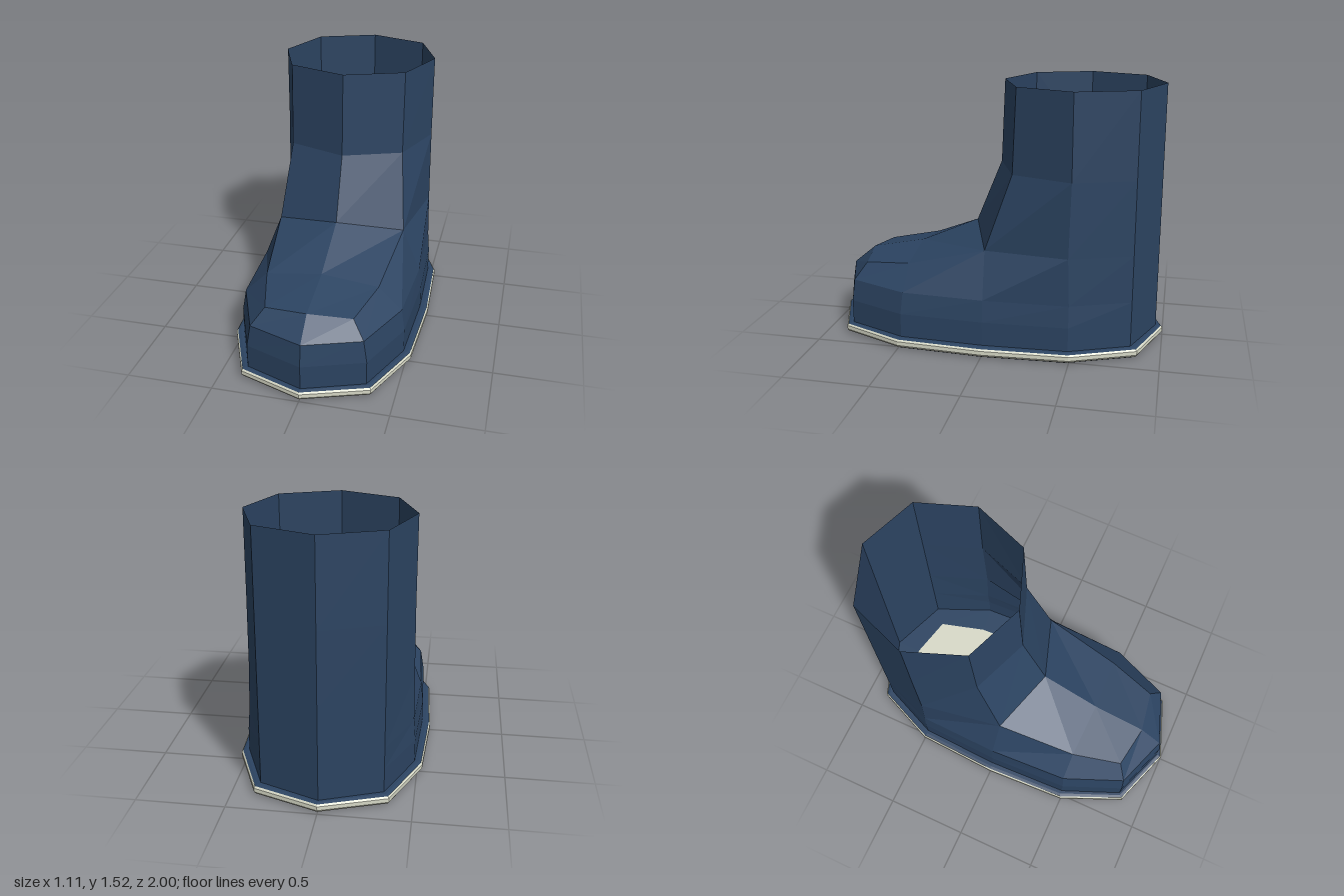
import * as THREE from 'three';

const NAVY = 0x2c4462, CREAM = 0xd8dac8;

function material(color) {
  return new THREE.MeshStandardMaterial({ color, flatShading: true, side: THREE.DoubleSide });
}

const flip = ([x, y, z]) => [-x, y, z];

// Half outline (front centre, left side, back centre) -> full closed ring
function ring(half) {
  return [...half, ...half.slice(1, -1).reverse().map(flip), half[0]];
}

// Half strip (centre outwards to the left) -> full strip from right to left
function strip(half) {
  return [...half.slice(1).reverse().map(flip), ...half];
}

// Faceted skin between successive rows of points
function loft(name, rows, color) {
  const pos = [];
  for (let i = 0; i + 1 < rows.length; i++) {
    for (let j = 0; j + 1 < rows[i].length; j++) {
      const a = rows[i][j], b = rows[i][j + 1], c = rows[i + 1][j + 1], d = rows[i + 1][j];
      pos.push(...a, ...b, ...c, ...a, ...c, ...d);
    }
  }
  const geo = new THREE.BufferGeometry();
  geo.setAttribute('position', new THREE.Float32BufferAttribute(pos, 3));
  geo.computeVertexNormals();
  const mesh = new THREE.Mesh(geo, material(color));
  mesh.name = name;
  return mesh;
}

const level = (outline, y) => outline.map(([x, z]) => [x, y, z]);

export function createModel() {
  const boot = new THREE.Group();
  boot.name = 'boot';

  // Foot: walls rising from the sole to the toe cap, instep and heel
  const base = [[0, 0.965], [0.34, 0.84], [0.485, 0.49], [0.505, 0], [0.485, -0.49], [0.34, -0.83], [0, -0.96]];
  const welt = [[0, 0.945], [0.32, 0.83], [0.465, 0.48], [0.49, 0], [0.475, -0.49], [0.34, -0.83], [0, -0.96]];
  const toe = [[0, 0.44, 0.81], [0.25, 0.42, 0.77]];
  const vamp = [[0, 0.505, 0.49], [0.33, 0.46, 0.48]];
  const ankle = [[0, 0.66, 0.14], [0.385, 0.59, 0.01], [0.47, 0.6, -0.48], [0.34, 0.6, -0.83], [0, 0.6, -0.96]];
  boot.add(loft('foot', [
    ring(level(base, 0.05)),
    ring(level(base, 0.2)),
    ring(level(welt, 0.327)),
    ring([...toe, vamp[1], ...ankle.slice(1)]),
  ], NAVY));

  // Top of the foot, from toe to ankle
  boot.add(loft('instep', [toe, vamp, ankle.slice(0, 2)].map(strip), NAVY));

  // Open shaft
  const shin = [[0, -0.01], [0.34, -0.14], [0.465, -0.49], [0.34, -0.83], [0, -0.96]];
  const rim = [[0, -0.03], [0.34, -0.16], [0.465, -0.49], [0.34, -0.83], [0, -0.96]];
  boot.add(loft('shaft', [ring(ankle), ring(level(shin, 1.03)), ring(level(rim, 1.52))], NAVY));

  // Sole: rounded cream edge between dark upper and lower borders, cream centre
  const outer = [[0, 1], [0.37, 0.87], [0.53, 0.5], [0.555, 0], [0.53, -0.5], [0.37, -0.87], [0, -1]];
  const inner = [[0, 0.81], [0.25, 0.75], [0.33, 0.47], [0.35, 0], [0.33, -0.47], [0.25, -0.75], [0, -0.81]];
  const edge = (inset, y) =>
    ring(outer.map(([x, z]) => [x * (1 - inset / 0.555), y, z * (1 - inset)]));
  const centre = y => ring(inner.map(() => [0, y, 0]));
  const low = ring(level(inner, 0)), high = ring(level(inner, 0.06));

  const sole = new THREE.Group();
  sole.name = 'sole';
  sole.add(
    loft('soleCentre', [centre(0), low], CREAM),
    loft('soleLowerBorder', [low, edge(0.025, 0), edge(0.008, 0.01)], NAVY),
    loft('soleEdge', [edge(0.008, 0.01), edge(0, 0.022), edge(0, 0.045), edge(0.008, 0.055)], CREAM),
    loft('soleUpperBorder', [edge(0.008, 0.055), edge(0.025, 0.06), high], NAVY),
    loft('insole', [high, centre(0.06)], CREAM),
  );
  boot.add(sole);
  return boot;
}
